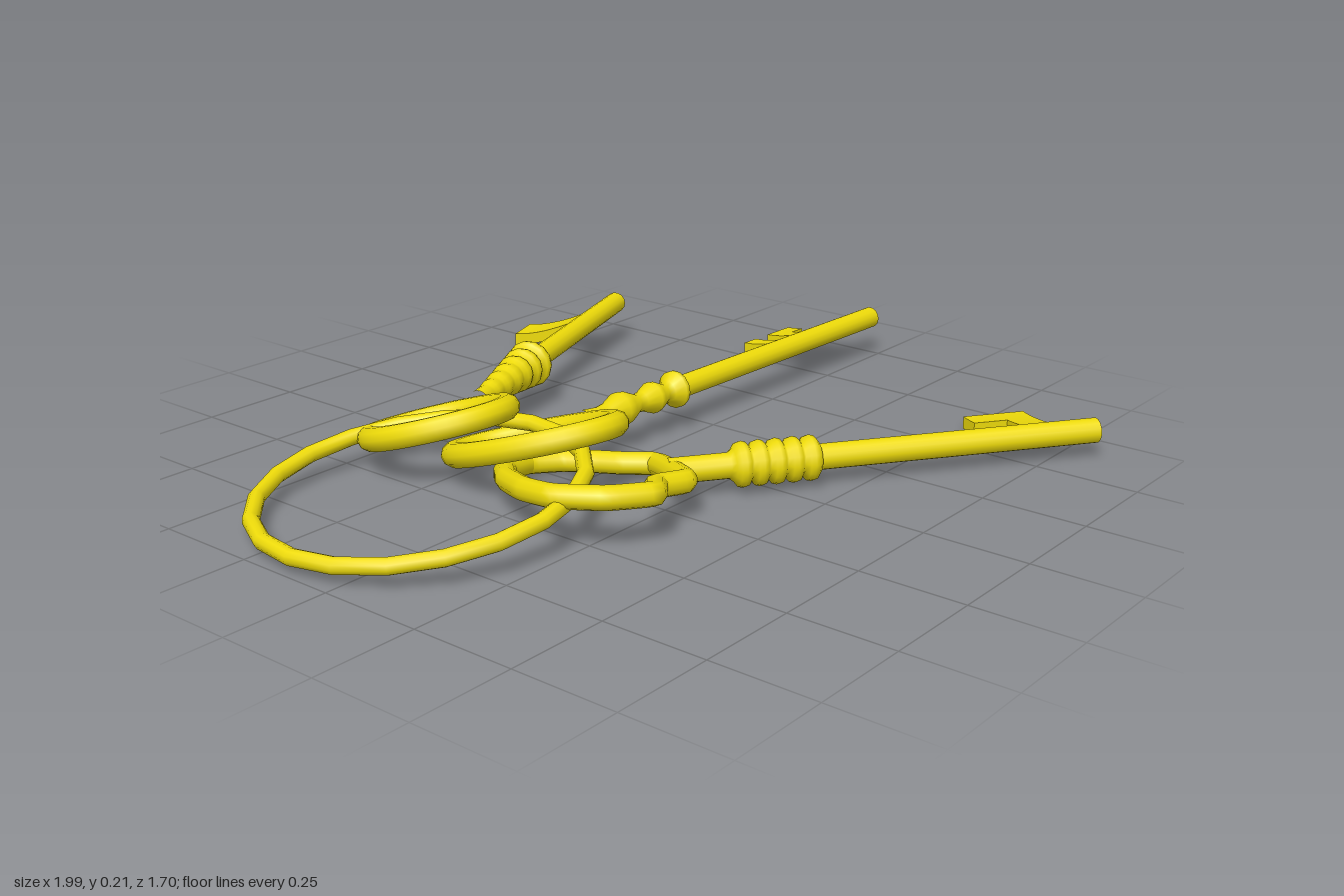
import * as THREE from 'three';

const brass = new THREE.MeshStandardMaterial({ color: 0xeedb0a });

function add(parent, geometry, name) {
  const mesh = new THREE.Mesh(geometry, brass);
  mesh.name = name;
  parent.add(mesh);
  return mesh;
}

// Closed tube through [x, z] points lying on a tilted plane: y = y0 + sx * x + sz * z
function loop(points, plane, radius, segments, tension = 0.5) {
  const [y0, sx, sz] = plane;
  const path = points.map(([x, z]) => new THREE.Vector3(x, y0 + sx * x + sz * z, z));
  const curve = new THREE.CatmullRomCurve3(path, true, 'catmullrom', tension);
  return new THREE.TubeGeometry(curve, segments, radius, 10, true);
}

function ellipse(rx, rz, count = 24) {
  return Array.from({ length: count }, (_, i) => {
    const a = (i / count) * Math.PI * 2;
    return [Math.cos(a) * rx, Math.sin(a) * rz];
  });
}

// Profile [radius, distance] turned around the key's own x axis
function turned(profile) {
  const g = new THREE.LatheGeometry(profile.map(([r, s]) => new THREE.Vector2(r, s)), 14);
  return g.rotateZ(-Math.PI / 2);
}

// Stack of rounded collars between s0 and s1
function collars(s0, s1, count, r0, r1, valley) {
  const out = [];
  const step = (s1 - s0) / count;
  for (let i = 0; i < count; i++) {
    const r = r0 + ((r1 - r0) * i) / (count - 1);
    const s = s0 + i * step;
    const low = Math.min(valley, r * 0.8);
    out.push([low, s], [r * 0.94, s + step * 0.22], [r, s + step * 0.5], [r * 0.94, s + step * 0.78]);
  }
  out.push([valley, s1]);
  return out;
}

// Bit plate: a block [s0, s1, e0, e1] that sags away from the shank
function bitBlock([s0, s1, e0, e1], reach, drop, thickness) {
  const g = new THREE.BoxGeometry(s1 - s0, thickness, e1 - e0, 1, 1, 5);
  g.translate((s0 + s1) / 2, 0, -(e0 + e1) / 2);
  const p = g.attributes.position;
  for (let i = 0; i < p.count; i++) {
    const t = Math.min(1, Math.max(0, -p.getZ(i) / reach));
    p.setY(i, p.getY(i) - drop * (1 - Math.pow(1 - t, 1.6)));
  }
  const flat = g.toNonIndexed();
  flat.computeVertexNormals();
  return flat;
}

// Shank and bit, running from one point to another in plan
function key(name, from, to, y, profile, radius, blocks, drop) {
  const group = new THREE.Group();
  group.name = name;
  const dx = to[0] - from[0];
  const dz = to[1] - from[1];
  const length = Math.hypot(dx, dz);
  group.position.set(from[0], y, from[1]);
  group.rotation.y = Math.atan2(-dz, dx);
  const start = profile[profile.length - 1][1];
  add(group, turned(profile), 'collar');
  const shank = new THREE.CylinderGeometry(radius, radius, length - start, 14);
  shank.rotateZ(Math.PI / 2).translate((length + start) / 2, 0, 0);
  add(group, shank, 'shank');
  const bit = new THREE.Group();
  bit.name = 'bit';
  const reach = Math.max(...blocks.map((b) => b[3]));
  for (const [a, b, c, d] of blocks) {
    add(bit, bitBlock([length + a, length + b, c, d], reach, drop, 0.03), 'bitBlock');
  }
  group.add(bit);
  return group;
}

export function createModel() {
  const model = new THREE.Group();
  model.name = 'keyRing';

  // Large thin ring, slightly tilted and visibly faceted
  const ring = add(model, loop(ellipse(0.357, 0.357, 20), [0, 0.12, 0.04], 0.019, 20), 'carrierRing');
  ring.position.set(-0.622, 0.074, -0.125);

  // Back key: round bow, graded collars, plain bit
  const backKey = key('backKey', [-0.195, -0.36], [0.645, -0.65], 0.105,
    [[0.024, -0.01], [0.024, 0.03], ...collars(0.04, 0.31, 6, 0.03, 0.06, 0.038)], 0.028,
    [[-0.17, -0.055, 0, 0.075], [-0.16, -0.06, 0.075, 0.24]], 0.088);
  model.add(backKey);
  const backBow = add(model, loop(ellipse(0.152, 0.166), [0, -0.03, 0.34], 0.029, 48), 'backBow');
  backBow.position.set(-0.377, 0.107, -0.316);

  // Middle key: oval bow, beaded neck, toothed bit
  const middleKey = key('middleKey', [-0.14, -0.072], [0.995, -0.028], 0.098,
    [[0.03, -0.01], [0.024, 0.04], [0.027, 0.07], [0.042, 0.11], [0.038, 0.135], [0.022, 0.17],
      [0.025, 0.19], [0.039, 0.225], [0.036, 0.24], [0.022, 0.27], [0.028, 0.285],
      [0.046, 0.305], [0.045, 0.318], [0.027, 0.335]], 0.028,
    [[-0.257, -0.053, 0, 0.118], [-0.257, -0.208, 0.118, 0.235], [-0.155, -0.107, 0.118, 0.235],
      [-0.107, -0.06, 0.187, 0.235], [-0.107, -0.06, 0.118, 0.15]], 0.078);
  model.add(middleKey);
  const middleBow = add(model, loop(ellipse(0.155, 0.205), [0, -0.07, 0.345], 0.029, 48), 'middleBow');
  middleBow.position.set(-0.31, 0.103, -0.08);

  // Front key: shouldered bow, even collars, notched bit
  const frontKey = key('frontKey', [-0.185, 0.217], [0.65, 0.82], 0.061,
    [[0.03, -0.01], [0.03, 0.13], ...collars(0.14, 0.34, 5, 0.053, 0.053, 0.038)], 0.03,
    [[-0.23, -0.07, 0, 0.108], [-0.142, -0.07, 0.108, 0.172], [-0.228, -0.07, 0.172, 0.235]], 0.042);
  model.add(frontKey);
  const shoulder = [
    [-0.185, 0.217], [-0.26, 0.315], [-0.345, 0.302], [-0.414, 0.352], [-0.505, 0.302],
    [-0.553, 0.2], [-0.532, 0.1], [-0.468, -0.013], [-0.388, -0.095], [-0.29, -0.12],
    [-0.217, -0.075], [-0.185, 0], [-0.165, 0.06], [-0.128, 0.125],
  ];
  add(model, loop(shoulder, [0.002, -0.15, 0.14], 0.027, 84, 0.2), 'frontBow');

  return model;
}
